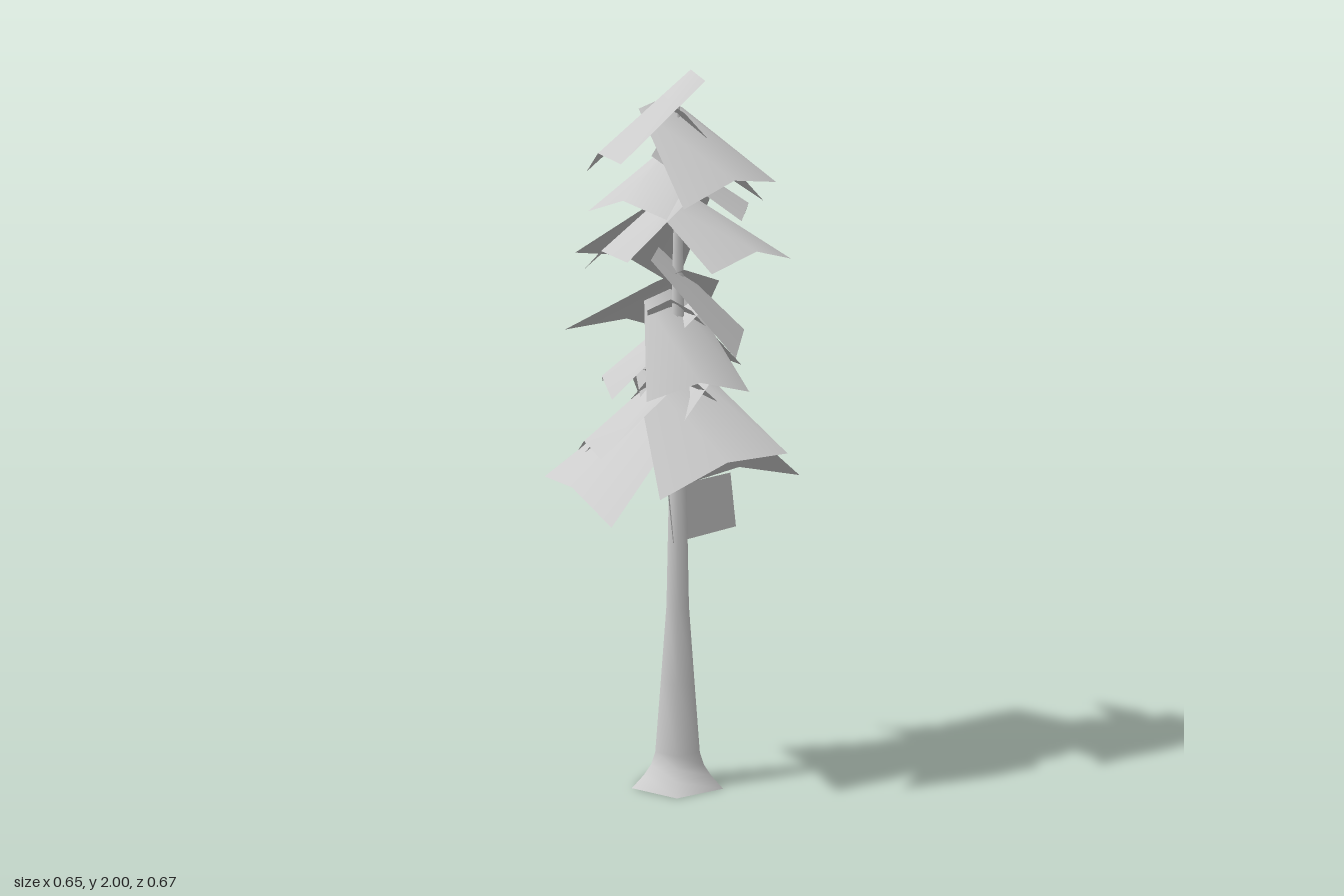
import * as THREE from 'three';

const material = new THREE.MeshStandardMaterial({ color: 0xcccccc, side: THREE.DoubleSide });
const AXIS = new THREE.Vector3(0.03, 0, 0);

// A drooping creased sheet: its two tip corners are given, and the narrow inner edge
// hooks over the trunk at height top, with a raised ridge down the middle
function branchSheet(name, top, tipA, tipB) {
  const a = new THREE.Vector3(...tipA);
  const b = new THREE.Vector3(...tipB);
  const middle = a.clone().lerp(b, 0.5);
  const out = middle.clone().sub(AXIS).setY(0).normalize();
  const along = b.clone().sub(a).setY(0);
  const hook = AXIS.clone().setY(top).addScaledVector(out, -0.045);
  const inner = (side) => hook.clone().addScaledVector(along, side * 0.24)
    .addScaledVector(out, -0.015).setY(top - 0.03);
  const ridge = middle.addScaledVector(out, 0.015);
  ridge.y += 0.04;

  const geo = new THREE.BufferGeometry().setFromPoints([inner(-1), hook, inner(1), a, ridge, b]);
  geo.setIndex([0, 3, 4, 0, 4, 1, 1, 4, 5, 1, 5, 2]);
  geo.computeVertexNormals();
  const mesh = new THREE.Mesh(geo, material);
  mesh.name = name;
  return mesh;
}

// One whorl of sheets around the trunk
function tier(name, sheets) {
  const group = new THREE.Group();
  group.name = name;
  for (const [part, ...shape] of sheets) group.add(branchSheet(part, ...shape));
  return group;
}

export function createModel() {
  const tree = new THREE.Group();
  tree.name = 'conifer';

  // five-sided trunk, open below, with a flared root and a taper up into the crown
  const profile = [[0.135, 0], [0.1, 0.035], [0.078, 0.065], [0.066, 0.1], [0.05, 0.3],
    [0.033, 0.52], [0.024, 0.95], [0.015, 1.5], [0.004, 1.95]].map(([r, y]) => new THREE.Vector2(r, y));
  const trunk = new THREE.Mesh(new THREE.LatheGeometry(profile, 5), material);
  trunk.name = 'trunk';
  trunk.position.set(0.022, 0, 0.016);
  trunk.rotation.y = Math.PI / 2;
  tree.add(trunk);

  // foliage, from the crown downwards
  tree.add(tier('crown', [
    ['backRightBranch', 2.0, [-0.045, 1.72, -0.25], [-0.24, 1.755, 0.025]],
    ['frontBranch', 1.925, [-0.185, 1.64, 0.19], [0.145, 1.7, 0.255]],
    ['leftBranch', 1.915, [0.245, 1.64, 0.145], [0.285, 1.7, -0.185]],
    ['rightBranch', 1.83, [-0.15, 1.62, -0.16], [-0.18, 1.61, 0.13]],
    ['frontLeftBranch', 1.8, [0.02, 1.6, 0.23], [0.26, 1.6, 0.07]],
  ]));
  tree.add(tier('upperTier', [
    ['backRightBranch', 1.72, [-0.115, 1.46, -0.2], [-0.265, 1.5, 0.065]],
    ['frontBranch', 1.71, [-0.135, 1.47, 0.245], [0.197, 1.49, 0.27]],
    ['backLeftBranch', 1.69, [0.3, 1.38, -0.2], [-0.005, 1.49, -0.325]],
  ]));
  tree.add(tier('middleTier', [
    ['frontLeftBranch', 1.52, [0.01, 1.23, 0.22], [0.29, 1.27, 0.04]],
    ['backLeftBranch', 1.46, [0.25, 1.245, -0.1], [-0.04, 1.275, -0.335]],
    ['frontBranch', 1.4, [-0.235, 1.13, 0.105], [0.06, 1.135, 0.23]],
    ['leftBranch', 1.38, [0.325, 1.165, 0.015], [0.19, 1.17, -0.2]],
    ['backRightBranch', 1.37, [-0.04, 1.14, -0.2], [-0.2, 1.12, -0.04]],
  ]));
  tree.add(tier('lowerTier', [
    ['frontBranch', 1.22, [-0.255, 0.875, 0.165], [0.1, 0.97, 0.33]],
    ['rightBranch', 1.19, [-0.14, 0.87, -0.33], [-0.33, 0.8, 0.06]],
    ['backRightBranch', 1.24, [-0.115, 0.95, -0.23], [-0.285, 0.97, -0.01]],
    ['leftBranch', 1.2, [0.31, 0.87, 0.228], [0.295, 0.79, -0.2]],
    ['backLeftBranch', 1.22, [0.27, 0.89, -0.06], [-0.1, 0.93, -0.23]],
  ]));

  // flat sheet hanging below the foliage
  const hanging = new THREE.Mesh(new THREE.PlaneGeometry(0.3, 0.156), material);
  hanging.name = 'hangingBranch';
  hanging.position.set(0.145, 0.778, 0.01);
  hanging.rotation.x = -0.13;
  tree.add(hanging);
  return tree;
}
